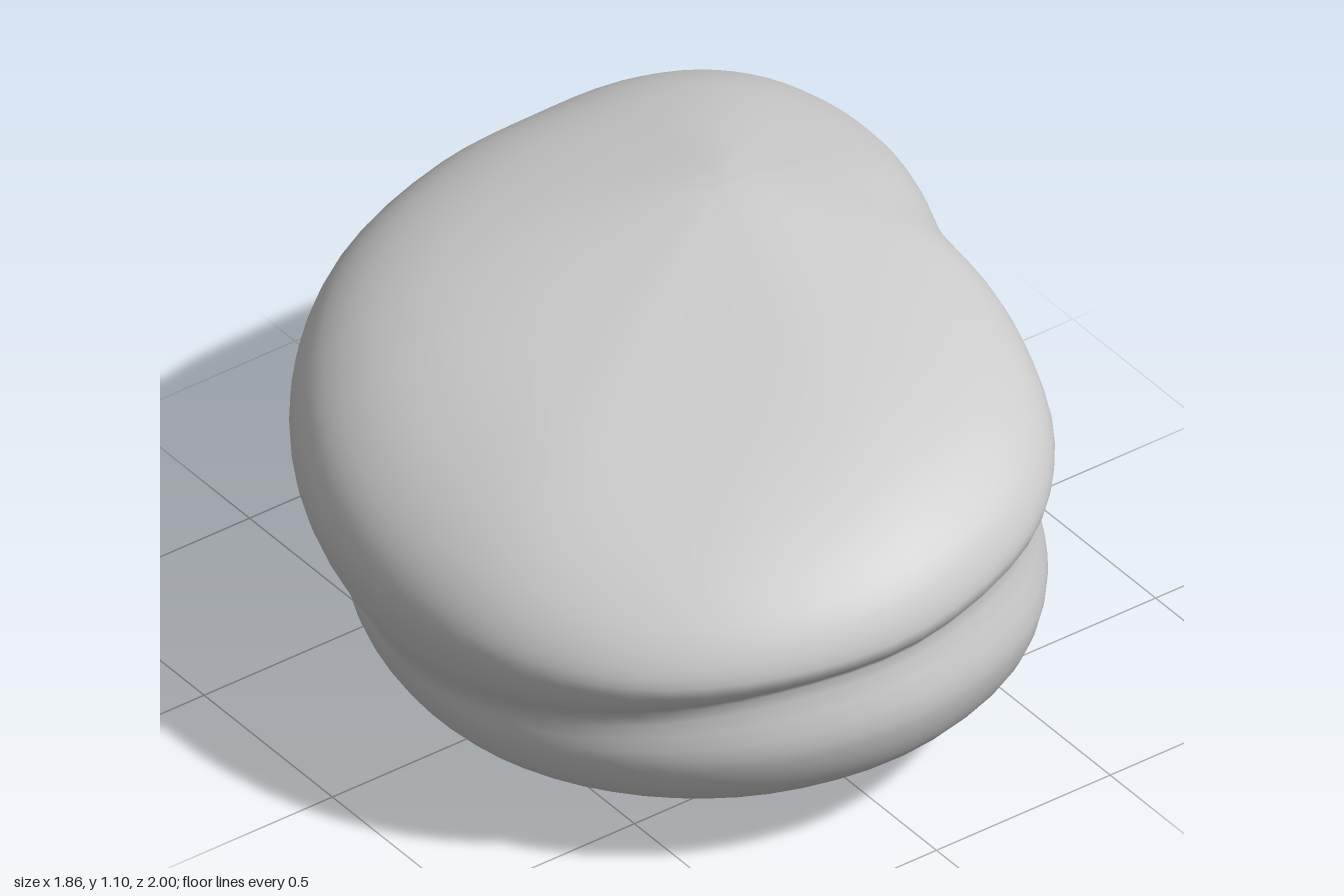
import * as THREE from 'three';
import { mergeVertices } from 'three/addons/utils/BufferGeometryUtils.js';

// Stations around the stone, clockwise from the front:
// rim x, rim z, rim height, groove scale, groove height, belly scale, belly height
const stations = [
  [-0.03, 1.00, 0.65, 0.955, 0.57, 0.99, 0.41],
  [-0.39, 0.93, 0.62, 0.94, 0.53, 0.97, 0.38],
  [-0.68, 0.74, 0.60, 0.915, 0.46, 0.93, 0.34],
  [-0.87, 0.44, 0.60, 0.89, 0.38, 0.89, 0.29],
  [-0.93, 0.08, 0.61, 0.885, 0.34, 0.87, 0.27],
  [-0.87, -0.28, 0.63, 0.88, 0.38, 0.87, 0.30],
  [-0.67, -0.61, 0.66, 0.89, 0.43, 0.88, 0.36],
  [-0.40, -0.83, 0.70, 0.90, 0.48, 0.89, 0.41],
  [-0.03, -0.97, 0.73, 0.91, 0.52, 0.90, 0.45],
  [0.25, -1.00, 0.73, 0.915, 0.53, 0.905, 0.46],
  [0.52, -0.99, 0.73, 0.92, 0.53, 0.91, 0.46],
  [0.73, -0.92, 0.71, 0.935, 0.53, 0.92, 0.46],
  [0.86, -0.80, 0.69, 0.955, 0.53, 0.945, 0.45],
  [0.93, -0.61, 0.68, 0.965, 0.53, 0.965, 0.44],
  [0.92, -0.40, 0.70, 0.95, 0.54, 0.96, 0.43],
  [0.84, -0.17, 0.74, 0.92, 0.56, 0.94, 0.42],
  [0.74, 0.07, 0.76, 0.90, 0.58, 0.935, 0.42],
  [0.72, 0.27, 0.76, 0.91, 0.60, 0.945, 0.42],
  [0.68, 0.45, 0.76, 0.925, 0.61, 0.96, 0.42],
  [0.57, 0.69, 0.74, 0.94, 0.61, 0.98, 0.42],
  [0.36, 0.89, 0.70, 0.95, 0.60, 0.99, 0.41],
];

// Dome profiles as [fraction from pole to edge, height fraction]
const topProfile = [[0, 1], [0.1, 0.98], [0.27, 0.91], [0.52, 0.78], [0.72, 0.63], [0.87, 0.44], [0.965, 0.22]];
const bottomProfile = [[0.95, 0.67], [0.86, 0.47], [0.72, 0.29], [0.55, 0.17], [0.32, 0.06], [0.12, 0.01], [0, 0]];
const peak = new THREE.Vector3(0.26, 1.1, -0.19);
const base = new THREE.Vector3(0, 0, 0.1);

// One vertical section, from the peak over rim, groove and belly to the base
function section([x, z, rimY, grooveS, grooveY, bellyS, bellyY]) {
  const at = (s, y) => new THREE.Vector3(x * s, y, z * s);
  const near = (cx, cz, w) => Math.exp(-((x - cx) ** 2 + (z - cz) ** 2) / w);
  const hollow = near(0.74, 0.07, 0.12);
  // The domes are fuller beside the hollow and at the back, flatter at the front
  const topFullness = 1 + 0.5 * hollow + 0.25 * near(-0.6, -0.65, 0.3) - 0.12 * near(-0.6, 0.8, 0.15);
  const bottomFullness = 1 + 0.6 * hollow;
  const dome = (pole, edge, u, h) => new THREE.Vector3(
    THREE.MathUtils.lerp(pole.x, edge.x, u),
    THREE.MathUtils.lerp(edge.y, pole.y, h),
    THREE.MathUtils.lerp(pole.z, edge.z, u));
  const rim = at(1, rimY);
  const belly = at(bellyS, bellyY);
  return [
    ...topProfile.map(([u, h]) => dome(peak, rim, u, h ** (1 / topFullness))),
    rim,
    at(1 - 0.28 * (1 - grooveS), (rimY + grooveY) / 2),
    at(grooveS, grooveY),
    belly,
    ...bottomProfile.map(([u, h]) => dome(base, belly, u, 1 - h ** bottomFullness)),
  ];
}

function stoneGeometry(around = 84, down = 68) {
  const sections = stations.map(section);
  // Closed loops through matching points of all sections
  const loops = sections[0].map((_, k) =>
    new THREE.CatmullRomCurve3(sections.map((s) => s[k]), true));
  const positions = [];
  for (let j = 0; j < around; j++) {
    const column = new THREE.CatmullRomCurve3(loops.map((c) => c.getPoint(j / around)));
    for (let i = 0; i <= down; i++) positions.push(...column.getPoint(i / down).toArray());
  }
  const index = [];
  const id = (i, j) => (j % around) * (down + 1) + i;
  for (let j = 0; j < around; j++) {
    for (let i = 0; i < down; i++) {
      const a = id(i, j), b = id(i, j + 1), c = id(i + 1, j), d = id(i + 1, j + 1);
      if (i > 0) index.push(a, b, c);
      if (i < down - 1) index.push(b, d, c);
    }
  }
  const geometry = new THREE.BufferGeometry();
  geometry.setAttribute('position', new THREE.Float32BufferAttribute(positions, 3));
  geometry.setIndex(index);
  const merged = mergeVertices(geometry, 1e-4); // welds both poles
  merged.computeVertexNormals();
  return merged;
}

export function createModel() {
  const group = new THREE.Group();
  group.name = 'stone';
  const stone = new THREE.Mesh(stoneGeometry(), new THREE.MeshStandardMaterial({ color: 0xcccccc }));
  stone.name = 'groovedPebble';
  group.add(stone);
  return group;
}
